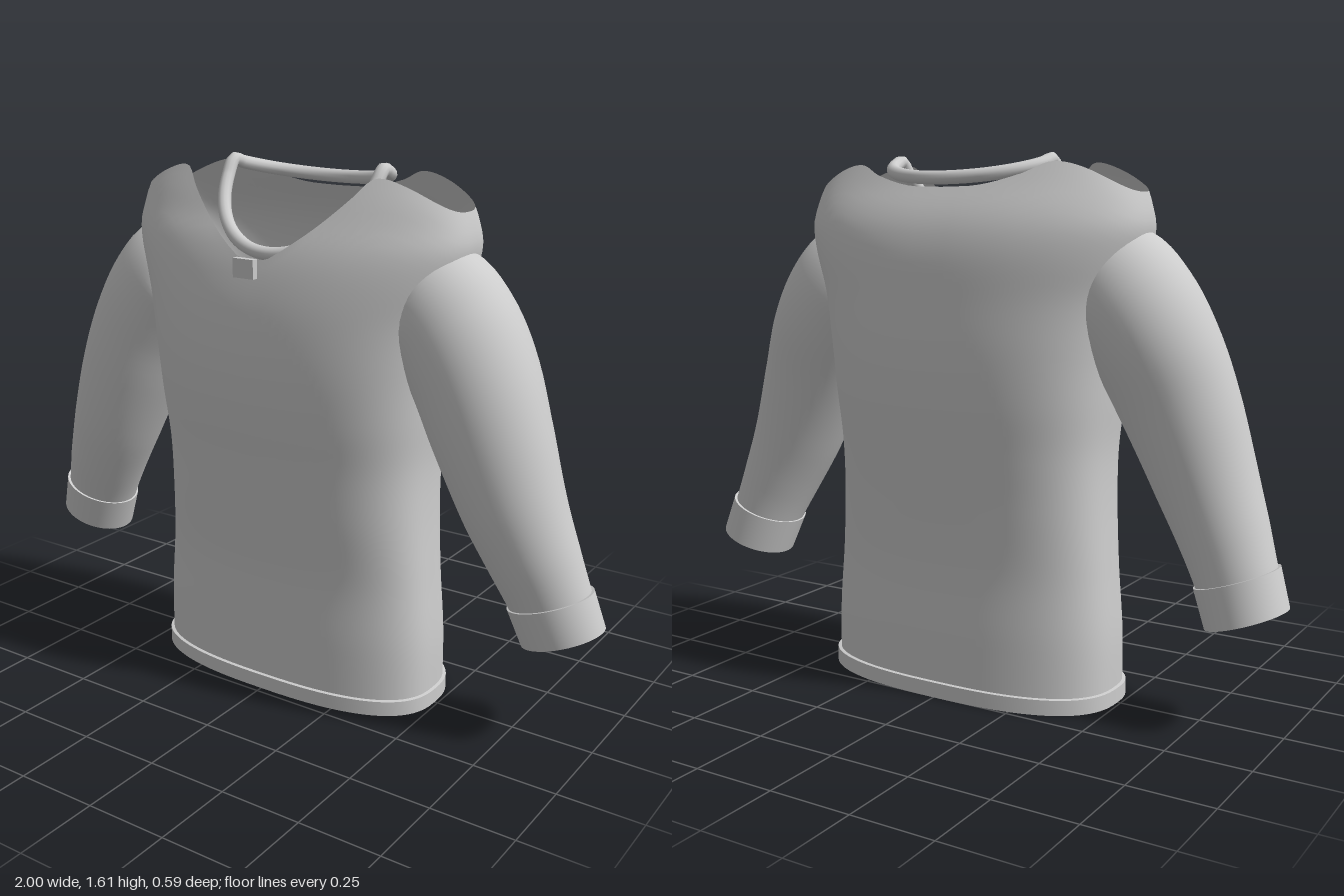
import * as THREE from 'three';
import { toCreasedNormals } from 'three/addons/utils/BufferGeometryUtils.js';

const fabric = new THREE.MeshStandardMaterial({ color: 0xcccccc, side: THREE.DoubleSide });
fabric.name = 'grey fabric';

// Smooth interpolation through [position, value, value, ...] rows
function sample(rows, t, k) {
  const n = rows.length;
  if (t <= rows[0][0]) return rows[0][k];
  if (t >= rows[n - 1][0]) return rows[n - 1][k];
  let i = 0;
  while (rows[i + 1][0] < t) i++;
  const slope = (j) => {
    const a = rows[Math.max(j - 1, 0)], b = rows[Math.min(j + 1, n - 1)];
    return (b[k] - a[k]) / (b[0] - a[0]);
  };
  const a = rows[i], b = rows[i + 1], h = b[0] - a[0], s = (t - a[0]) / h;
  const s2 = s * s, s3 = s2 * s;
  return (2 * s3 - 3 * s2 + 1) * a[k] + (s3 - 2 * s2 + s) * h * slope(i)
    + (3 * s2 - 2 * s3) * b[k] + (s3 - s2) * h * slope(i + 1);
}

// Skin over rows of rings; point(angle, row) gives each vertex
function loft(columns, rows, point) {
  const positions = [], index = [];
  for (let r = 0; r <= rows; r++) {
    for (let c = 0; c < columns; c++) positions.push(...point((c / columns) * Math.PI * 2, r));
  }
  for (let r = 0; r < rows; r++) {
    for (let c = 0; c < columns; c++) {
      const d = (c + 1) % columns;
      const a = r * columns + c, b = r * columns + d;
      index.push(a, a + columns, b, b, a + columns, b + columns);
    }
  }
  const geometry = new THREE.BufferGeometry();
  geometry.setAttribute('position', new THREE.Float32BufferAttribute(positions, 3));
  geometry.setIndex(index);
  geometry.computeVertexNormals();
  return geometry;
}

function part(name, geometry) {
  const mesh = new THREE.Mesh(geometry, fabric);
  mesh.name = name;
  return mesh;
}

// Body: height, half width, front depth, back depth
const BODY = [
  [0, 0.48, 0.22, 0.245], [0.2, 0.478, 0.22, 0.24], [0.4, 0.462, 0.22, 0.235],
  [0.6, 0.448, 0.245, 0.25], [0.75, 0.446, 0.263, 0.268], [0.9, 0.46, 0.285, 0.285],
  [1.05, 0.475, 0.295, 0.291], [1.2, 0.5, 0.286, 0.284], [1.32, 0.54, 0.262, 0.274],
  [1.4, 0.56, 0.235, 0.255], [1.46, 0.553, 0.205, 0.228], [1.52, 0.535, 0.178, 0.192],
  [1.6, 0.485, 0.14, 0.15],
];
// Top edge height against distance from the centre
const RIM_FRONT = [[0, 1.345], [0.04, 1.352], [0.15, 1.43], [0.27, 1.53], [0.35, 1.585], [0.44, 1.565], [0.535, 1.5]];
const RIM_BACK = [[0, 1.515], [0.12, 1.52], [0.25, 1.55], [0.35, 1.583], [0.44, 1.565], [0.535, 1.5]];

const power = (v) => Math.sign(v) * Math.pow(Math.abs(v), 2 / 2.6);

function bodyPoint(angle, y, grow = 0) {
  const c = power(Math.cos(angle)), s = power(Math.sin(angle));
  const depth = sample(BODY, y, s > 0 ? 2 : 3);
  return [c * (sample(BODY, y, 1) + grow), y, s * (depth + grow)];
}

function makeBody() {
  const rows = 56;
  return loft(128, rows, (angle, r) => {
    const x = Math.abs(power(Math.cos(angle))) * 0.535;
    const top = sample(Math.sin(angle) > 0 ? RIM_FRONT : RIM_BACK, x, 1);
    return bodyPoint(angle, 0.01 + (top - 0.01) * (r / rows));
  });
}

function makeHem() {
  const section = [[0.048, -0.002], [0.046, 0.01], [0, 0.01], [0, -0.012], [0.046, -0.012]];
  return toCreasedNormals(
    loft(96, section.length - 1, (angle, r) => bodyPoint(angle, section[r][0], section[r][1])), 0.6);
}

// Sleeve: x, y, z of the centre, then radius across and radius in depth
const SLEEVE = [
  [0.39, 1.255, 0.01, 0.14, 0.14], [0.45, 1.24, 0.01, 0.182, 0.17], [0.515, 1.175, 0.01, 0.187, 0.18],
  [0.585, 1.06, 0.016, 0.183, 0.178], [0.655, 0.9, 0.03, 0.172, 0.162], [0.735, 0.7, 0.033, 0.15, 0.143],
  [0.8, 0.55, 0.02, 0.132, 0.126], [0.845, 0.44, 0.004, 0.12, 0.113], [0.87, 0.37, -0.006, 0.115, 0.108],
];

function makeSleeve(side) {
  const rows = 40;
  const path = new THREE.CatmullRomCurve3(SLEEVE.map((p) => new THREE.Vector3(p[0], p[1], p[2])));
  const radii = SLEEVE.map((p, i) => [i / (SLEEVE.length - 1), p[3], p[4]]);
  return loft(48, rows, (angle, r) => {
    const t = r / rows, p = path.getPoint(t), d = path.getTangent(t);
    const length = Math.hypot(d.x, d.y);
    const across = Math.cos(angle) * sample(radii, t, 1);
    return [
      side * (p.x - (d.y / length) * across),
      p.y + (d.x / length) * across,
      p.z + Math.sin(angle) * sample(radii, t, 2),
    ];
  });
}

// Cuff: a thick band; each row is distance along the arm and change of radius
function makeCuff(side) {
  const section = [[0, -0.006], [0, 0.004], [0.117, 0], [0.117, -0.02], [0.01, -0.02]];
  const dx = 0.33, dy = -0.944;
  return toCreasedNormals(loft(48, section.length - 1, (angle, r) => {
    const [along, grow] = section[r];
    const across = Math.cos(angle) * (0.123 + grow);
    return [
      side * (0.846 + dx * along - dy * across),
      0.441 + dy * along + dx * across,
      0.004 - 0.13 * along + Math.sin(angle) * (0.117 + grow),
    ];
  }), 0.6);
}

// Collar: a round cord dipping towards the front
function makeCollar() {
  const points = [];
  for (let i = 0; i < 32; i++) {
    const a = (i / 32) * Math.PI * 2, s = Math.sin(a);
    points.push(new THREE.Vector3(0.262 * Math.cos(a), 1.593 - (s > 0 ? 0.235 : -0.055 * -1 * -1) * s, -0.017 + 0.193 * s));
  }
  // Back half slopes down gently
  for (const p of points) if (p.z < -0.017) p.y = 1.593 + (p.z + 0.017) * 0.27;
  return new THREE.TubeGeometry(new THREE.CatmullRomCurve3(points, true), 96, 0.02, 12, true);
}

export function createModel() {
  const model = new THREE.Group();
  model.name = 'sweater';
  model.add(part('body', makeBody()), part('hem', makeHem()), part('collar', makeCollar()));

  for (const [label, side] of [['left', 1], ['right', -1]]) {
    const arm = new THREE.Group();
    arm.name = `${label}Arm`;
    arm.add(part(`${label}Sleeve`, makeSleeve(side)), part(`${label}Cuff`, makeCuff(side)));
    model.add(arm);
  }

  // Small tab at the point of the neckline
  const tab = part('neckTab', new THREE.BoxGeometry(0.07, 0.055, 0.02));
  tab.position.set(0, 1.333, 0.285);
  model.add(tab);
  return model;
}
